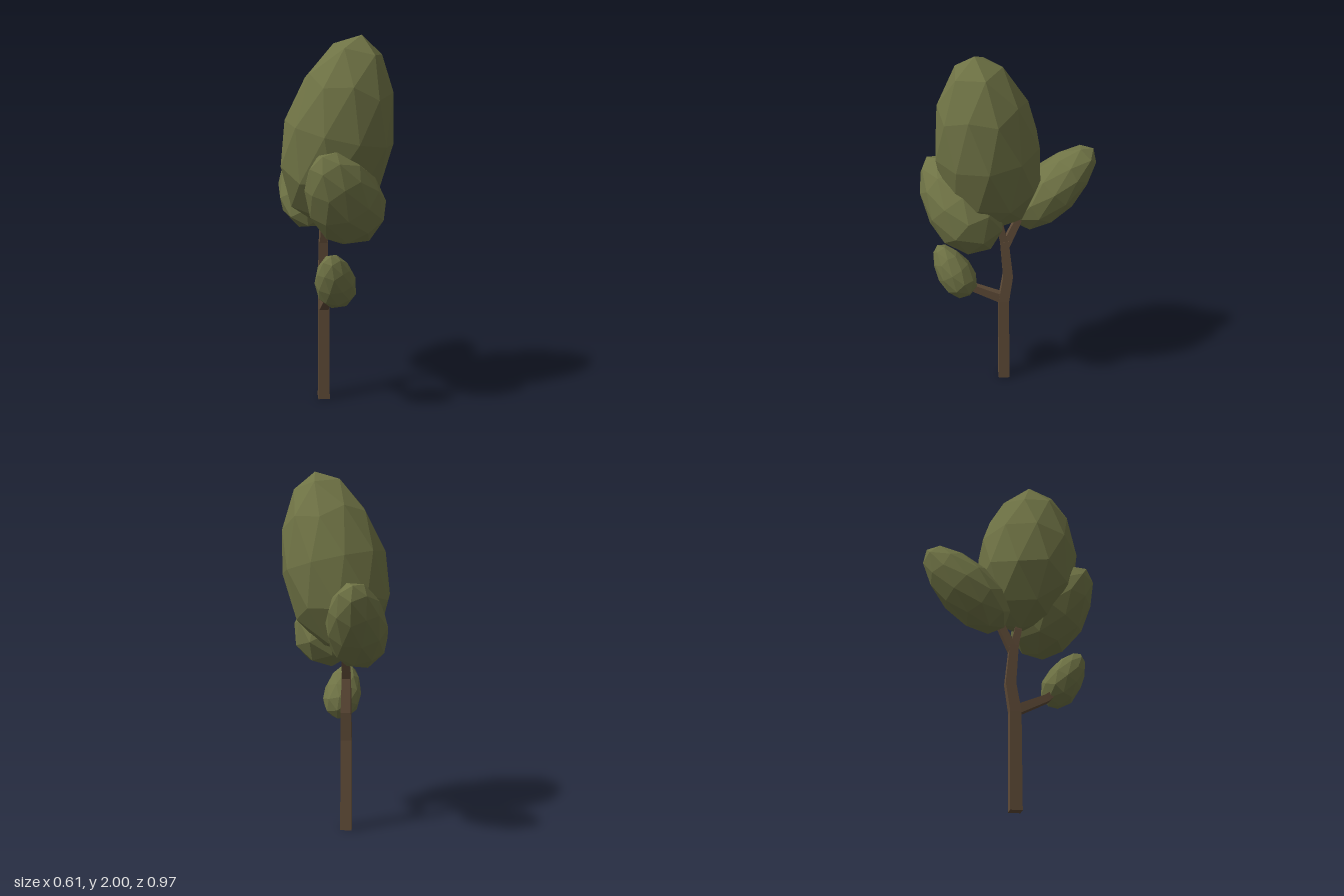
import * as THREE from 'three';
import { mergeVertices } from 'three/addons/utils/BufferGeometryUtils.js';

const leaf = new THREE.MeshStandardMaterial({ color: 0x6f7345, flatShading: true });
const bark = new THREE.MeshStandardMaterial({ color: 0x604c38, flatShading: true });

// Egg-shaped leaf clump running from its blunt base to its narrower tip
function clump(name, base, tip, rx, rz, taper, spin) {
  const a = new THREE.Vector3(...base), b = new THREE.Vector3(...tip);
  const axis = b.clone().sub(a), half = axis.length() / 2;
  const geo = new THREE.IcosahedronGeometry(1, 1);
  geo.rotateZ(-Math.atan(2 / (1 + Math.sqrt(5)))); // one corner points up
  geo.rotateY(spin);
  const p = geo.attributes.position;
  for (let i = 0; i < p.count; i++) {
    const y = p.getY(i), w = 1 - taper * y;
    p.setXYZ(i, p.getX(i) * rx * w, y * half, p.getZ(i) * rz * w);
  }
  geo.computeVertexNormals();
  const mesh = new THREE.Mesh(geo, leaf);
  mesh.name = name;
  mesh.quaternion.setFromUnitVectors(new THREE.Vector3(0, 1, 0), axis.normalize());
  mesh.position.copy(a).add(b).multiplyScalar(0.5);
  return mesh;
}

// Square limb swept along points [x, y, z, half width]
function limb(name, pts) {
  const pos = [], idx = [];
  const v = pts.map(q => new THREE.Vector3(q[0], q[1], q[2]));
  const side = new THREE.Vector3(1, 0, 0);
  pts.forEach((q, i) => {
    const t = v[Math.min(i + 1, v.length - 1)].clone().sub(v[Math.max(i - 1, 0)]);
    const n = side.clone().cross(t).normalize();
    for (const [sx, sn] of [[-1, 1], [1, 1], [1, -1], [-1, -1]]) {
      const c = v[i].clone().addScaledVector(side, sx * q[3]).addScaledVector(n, sn * q[3]);
      pos.push(c.x, c.y, c.z);
    }
    if (i === 0) return;
    for (let k = 0; k < 4; k++) {
      const lo = (i - 1) * 4, j = (k + 1) % 4;
      idx.push(lo + k, lo + j, lo + 4 + j, lo + k, lo + 4 + j, lo + 4 + k);
    }
  });
  const e = (pts.length - 1) * 4;
  idx.push(0, 2, 1, 0, 3, 2, e, e + 1, e + 2, e, e + 2, e + 3);
  let geo = new THREE.BufferGeometry();
  geo.setAttribute('position', new THREE.Float32BufferAttribute(pos, 3));
  geo.setIndex(idx);
  geo = mergeVertices(geo);
  geo.computeVertexNormals();
  const mesh = new THREE.Mesh(geo, bark);
  mesh.name = name;
  return mesh;
}

export function createModel() {
  const tree = new THREE.Group();
  tree.name = 'tree';

  // Trunk and its branches
  tree.add(
    limb('trunk', [[-0.07, 0, 0.02, 0.032], [-0.07, 0.52, 0.02, 0.03], [-0.07, 0.68, -0.005, 0.028], [-0.07, 0.9, 0.015, 0.024]]),
    limb('lowBranch', [[-0.07, 0.53, 0.02, 0.026], [-0.065, 0.61, 0.19, 0.02], [-0.05, 0.68, 0.27, 0.014]]),
    limb('frontBranch', [[-0.07, 0.87, 0.012, 0.022], [-0.065, 1.0, 0.04, 0.019], [-0.03, 1.25, 0.1, 0.012]]),
    limb('backBranch', [[-0.07, 0.87, 0.01, 0.023], [-0.07, 1.0, -0.05, 0.02], [-0.07, 1.29, -0.17, 0.012]]),
  );

  // Leaf clumps
  tree.add(
    clump('crown', [-0.1, 1.0, 0.05], [0.12, 2.0, 0.17], 0.295, 0.285, 0.14, 0.3),
    clump('frontClump', [0.13, 0.95, 0.1], [-0.1, 1.4, 0.43], 0.2, 0.19, 0.22, 0.6),
    clump('backClump', [-0.15, 0.97, -0.05], [-0.14, 1.41, -0.48], 0.165, 0.15, 0.15, 0.2),
    clump('lowClump', [0.0, 0.595, 0.215], [-0.055, 0.89, 0.39], 0.108, 0.1, 0.22, 0.9),
  );
  return tree;
}
